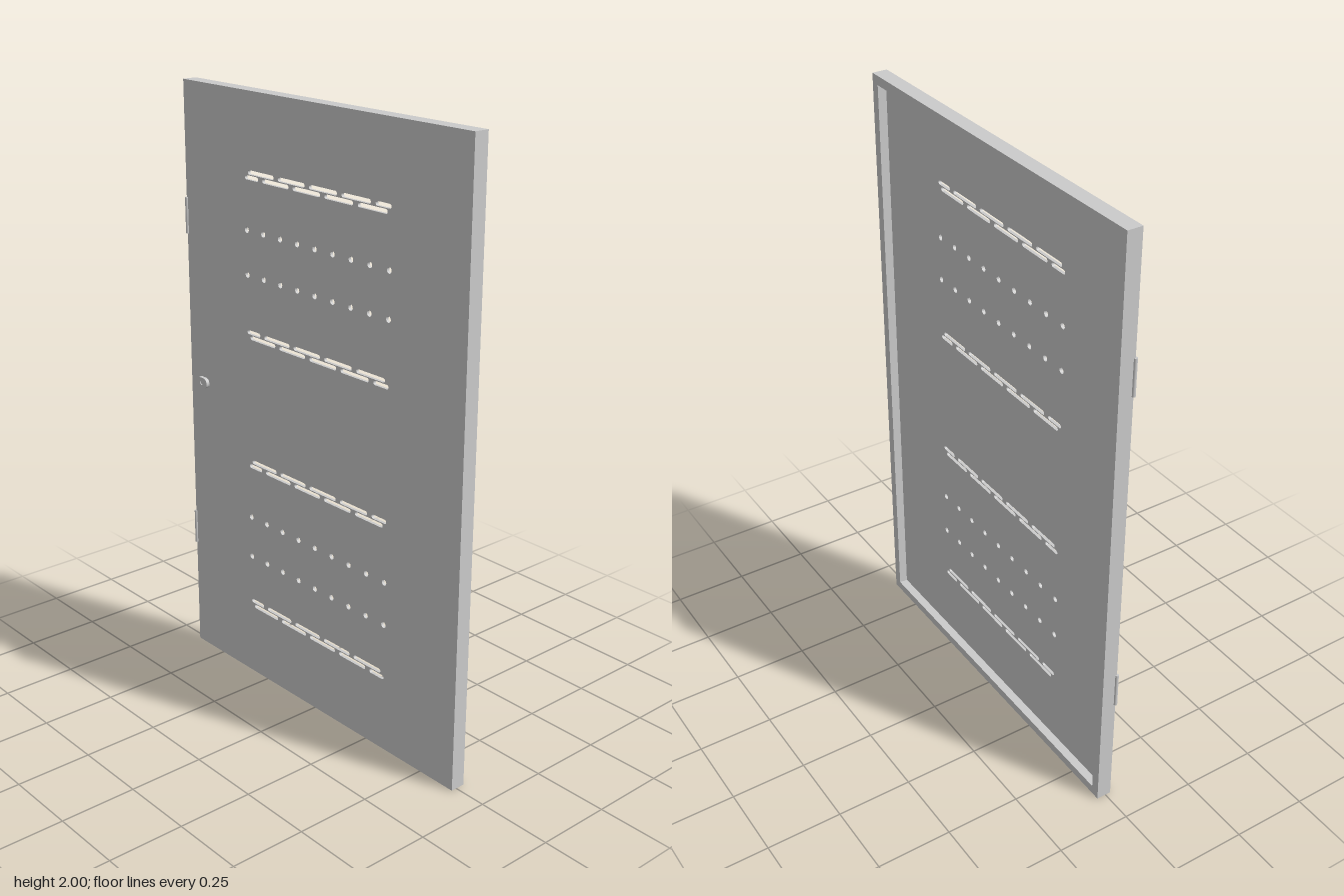
import * as THREE from 'three';

const W = 1.28, H = 2, FRONT = 0.019, BACK = -0.031, SHEET = 0.01;

// Rectangle from two corners
function rect(target, x0, y0, x1, y1) {
  target.moveTo(x0, y0);
  target.lineTo(x1, y0);
  target.lineTo(x1, y1);
  target.lineTo(x0, y1);
  target.closePath();
  return target;
}

// Round-ended horizontal slot
function slot(target, x0, x1, y, r) {
  target.moveTo(x0 + r, y - r);
  target.lineTo(x1 - r, y - r);
  target.absarc(x1 - r, y, r, -Math.PI / 2, Math.PI / 2, false);
  target.lineTo(x0 + r, y + r);
  target.absarc(x0 + r, y, r, Math.PI / 2, Math.PI * 1.5, false);
  return target;
}

export function createModel() {
  const group = new THREE.Group();
  const material = new THREE.MeshStandardMaterial({ color: 0xcccccc });

  function add(name, geometry, x = 0, y = 0, z = 0) {
    const mesh = new THREE.Mesh(geometry, material);
    mesh.name = name;
    mesh.position.set(x, y, z);
    group.add(mesh);
    return mesh;
  }
  const extrude = (shape, depth) =>
    new THREE.ExtrudeGeometry(shape, { depth, bevelEnabled: false, curveSegments: 8 });

  // Front sheet with vent slots and round holes
  const panel = rect(new THREE.Shape(), -W / 2, 0, W / 2, H);
  const cutSlot = (x0, x1, y) => panel.holes.push(slot(new THREE.Path(), x0, x1, y, 0.007));
  // Two staggered lines per vent; the second line mirrors the first
  const vents = [[1.742, 1], [1.225, -1], [0.779, 1], [0.264, -1]];
  for (const [y, side] of vents) {
    for (let i = 0; i < 5; i++) {
      const x0 = -0.315 + i * 0.145;
      const x1 = Math.min(x0 + 0.125, 0.33);
      cutSlot(x0, x1, y + side * 0.0085);
      cutSlot(-x1, -x0, y - side * 0.0085);
    }
  }
  for (const y of [1.567, 1.422, 0.585, 0.44]) {
    for (let i = -4; i <= 4; i++) {
      const hole = new THREE.Path();
      hole.absarc(i * 0.0813, y, 0.01, 0, Math.PI * 2, false);
      panel.holes.push(hole);
    }
  }
  add('frontPanel', extrude(panel, SHEET), 0, 0, FRONT - SHEET);

  // Folded edge walls and the return flange around the back
  function frame(name, width, z0, z1) {
    const shape = rect(new THREE.Shape(), -W / 2, 0, W / 2, H);
    shape.holes.push(rect(new THREE.Path(), -W / 2 + width, width, W / 2 - width, H - width));
    add(name, extrude(shape, z1 - z0), 0, 0, z0);
  }
  frame('edgeWalls', SHEET, BACK + 0.014, FRONT - SHEET);
  frame('backFlange', 0.03, BACK, BACK + 0.014);

  // Oval lock plate with a round key barrel
  const plate = slot(new THREE.Shape(), -0.028, 0.028, 0, 0.018);
  const barrelHole = new THREE.Path();
  barrelHole.absarc(0, 0, 0.008, 0, Math.PI * 2, false);
  plate.holes.push(barrelHole);
  add('lockPlate', extrude(plate, 0.012), -0.571, 1, FRONT);
  const barrel = add('lockBarrel', new THREE.CylinderGeometry(0.007, 0.007, 0.01, 16), -0.571, 1, FRONT + 0.005);
  barrel.rotation.x = Math.PI / 2;

  // Hinge knuckles on the front edge
  for (const y of [1.56, 0.445]) {
    add('hinge', new THREE.CylinderGeometry(0.006, 0.006, 0.12, 12), -W / 2, y, FRONT);
  }

  return group;
}
